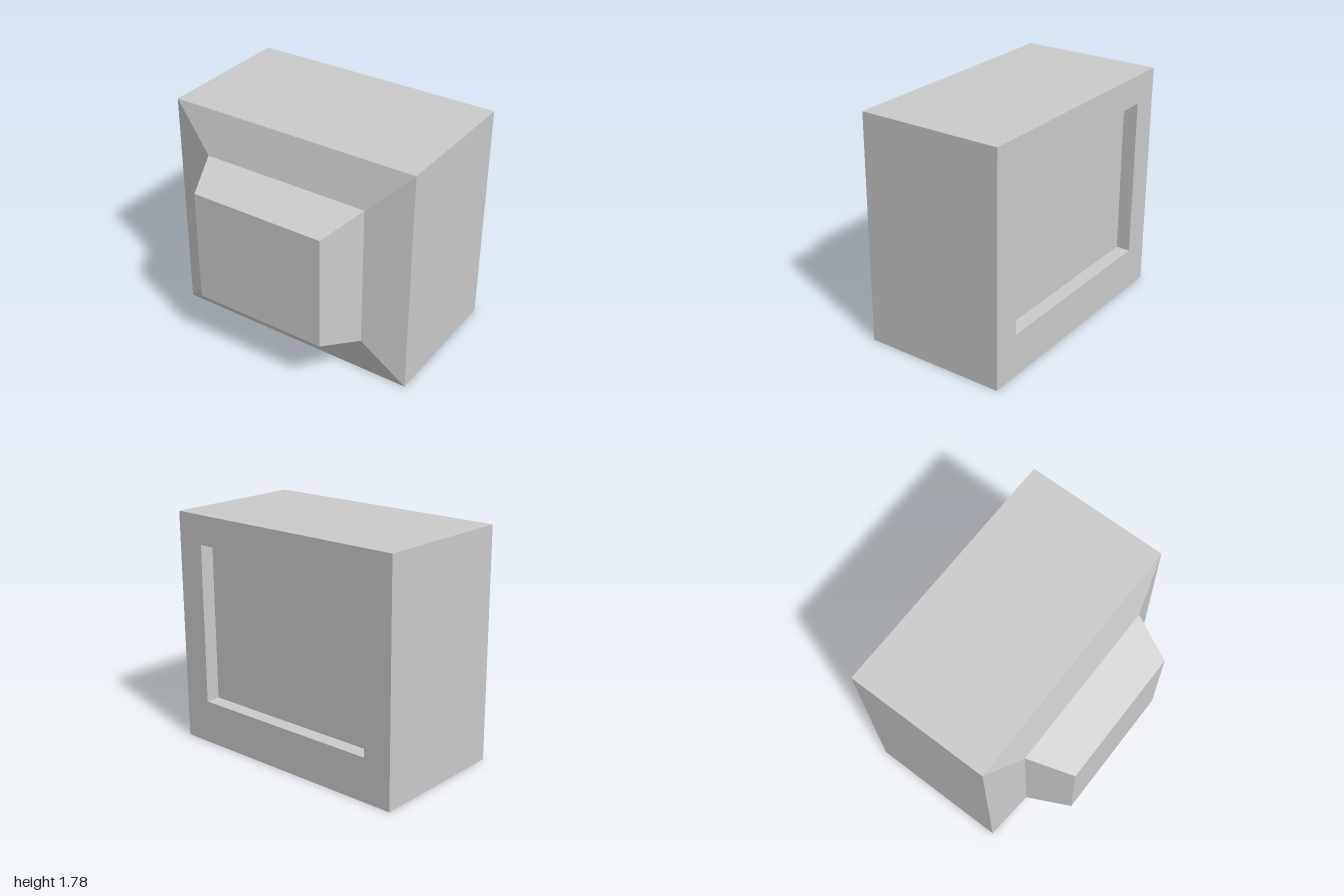
import * as THREE from 'three';

// Rectangular cross-section: half width, bottom, top, depth position
const ring = (w, y0, y1, z) => [[-w, y0, z], [w, y0, z], [w, y1, z], [-w, y1, z]];

// Skin a run of rectangles with flat faces, optionally capping either end
function loft(rings, capStart = false, capEnd = false) {
  const pos = [];
  const quad = (a, b, c, d) => pos.push(...a, ...b, ...c, ...a, ...c, ...d);
  for (let r = 0; r < rings.length - 1; r++) {
    const a = rings[r], b = rings[r + 1];
    for (let i = 0; i < 4; i++) {
      const j = (i + 1) % 4;
      quad(a[i], a[j], b[j], b[i]);
    }
  }
  if (capStart) {
    const s = rings[0];
    quad(s[0], s[3], s[2], s[1]);
  }
  if (capEnd) quad(...rings[rings.length - 1]);
  const geo = new THREE.BufferGeometry();
  geo.setAttribute('position', new THREE.Float32BufferAttribute(pos, 3));
  geo.computeVertexNormals();
  return geo;
}

export function createModel() {
  const group = new THREE.Group();
  const grey = new THREE.MeshStandardMaterial({ color: 0xcccccc });
  grey.name = 'light grey';

  const recessFloor = ring(0.778, 0.333, 1.556, -0.653);
  const recessEdge = ring(0.778, 0.333, 1.556, -0.764);
  const bodyBack = ring(1, 0, 1.778, -0.764);
  const bodyFront = ring(1, 0, 1.778, 0.347);
  const housingBase = ring(0.667, 0.333, 1.444, 0.431);
  const housingEnd = ring(0.533, 0.444, 1.333, 0.764);

  const add = (name, geo) => {
    const mesh = new THREE.Mesh(geo, grey);
    mesh.name = name;
    group.add(mesh);
  };

  add('screenRecess', loft([recessFloor, recessEdge], true));
  add('screenFrame', loft([recessEdge, bodyBack]));
  add('cabinet', loft([bodyBack, bodyFront]));
  add('slopedShoulder', loft([bodyFront, housingBase]));
  add('taperedHousing', loft([housingBase, housingEnd], false, true));

  return group;
}
